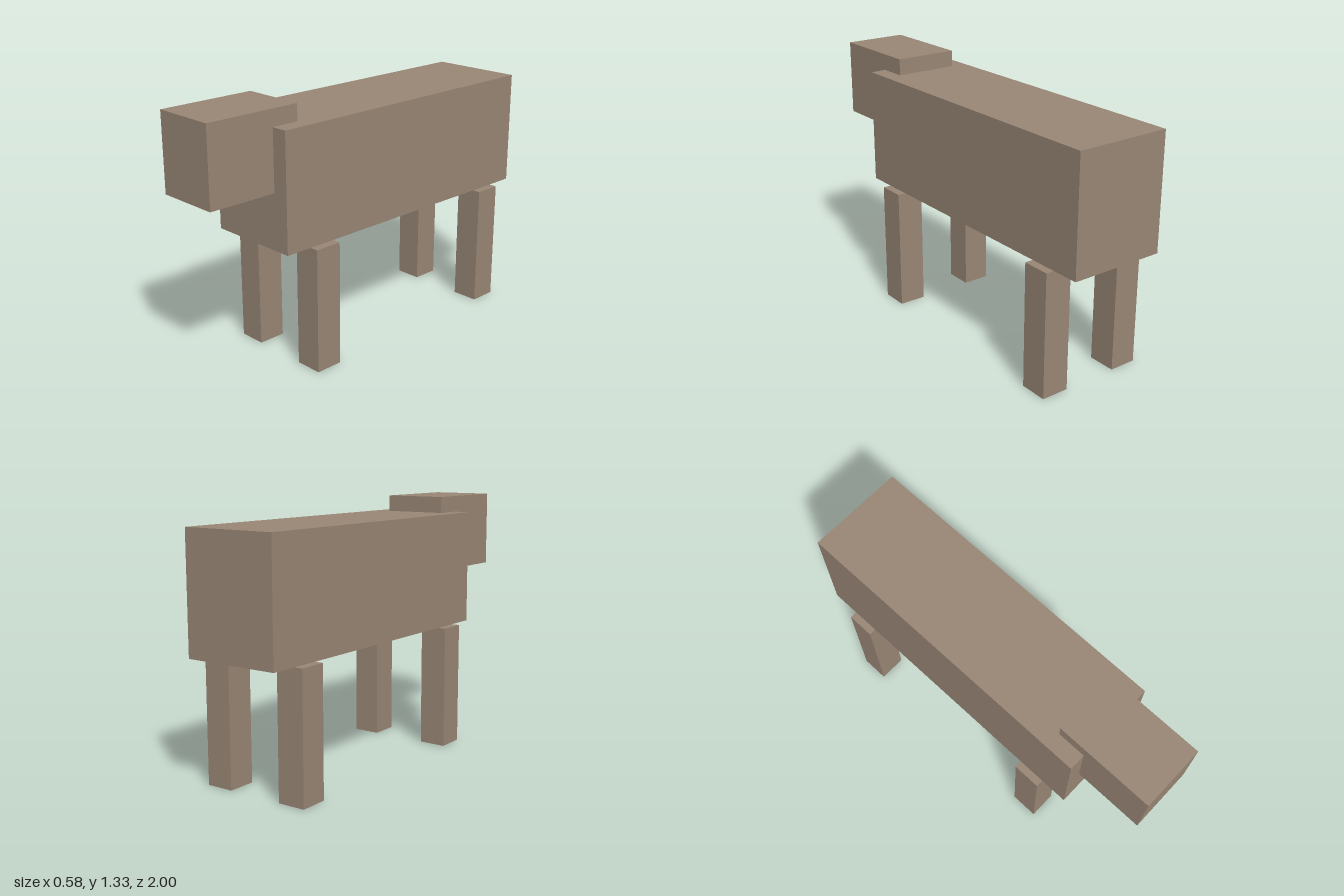
import * as THREE from 'three';

export function createModel() {
  const model = new THREE.Group();
  model.name = 'animal';
  const hide = new THREE.MeshStandardMaterial({ color: 0x998675 });
  hide.name = 'warm brown hide';

  // Box given by its ranges along x, y and z
  function block(name, [x0, x1], [y0, y1], [z0, z1]) {
    const mesh = new THREE.Mesh(new THREE.BoxGeometry(x1 - x0, y1 - y0, z1 - z0), hide);
    mesh.name = name;
    mesh.position.set((x0 + x1) / 2, (y0 + y1) / 2, (z0 + z1) / 2);
    model.add(mesh);
  }

  block('body', [-0.252, 0.25], [0.644, 1.24], [-1, 0.637]);
  block('head', [-0.168, 0.166], [0.928, 1.325], [0.49, 1]);

  // Four legs, standing slightly outside the body
  for (const [end, z] of [['front', 0.418], ['back', -0.781]]) {
    for (const [side, s] of [['Left', 1], ['Right', -1]]) {
      const x = s * 0.218;
      block(`${end}${side}Leg`, [x - 0.072, x + 0.072], [0, 0.642], [z - 0.073, z + 0.073]);
    }
  }
  return model;
}
